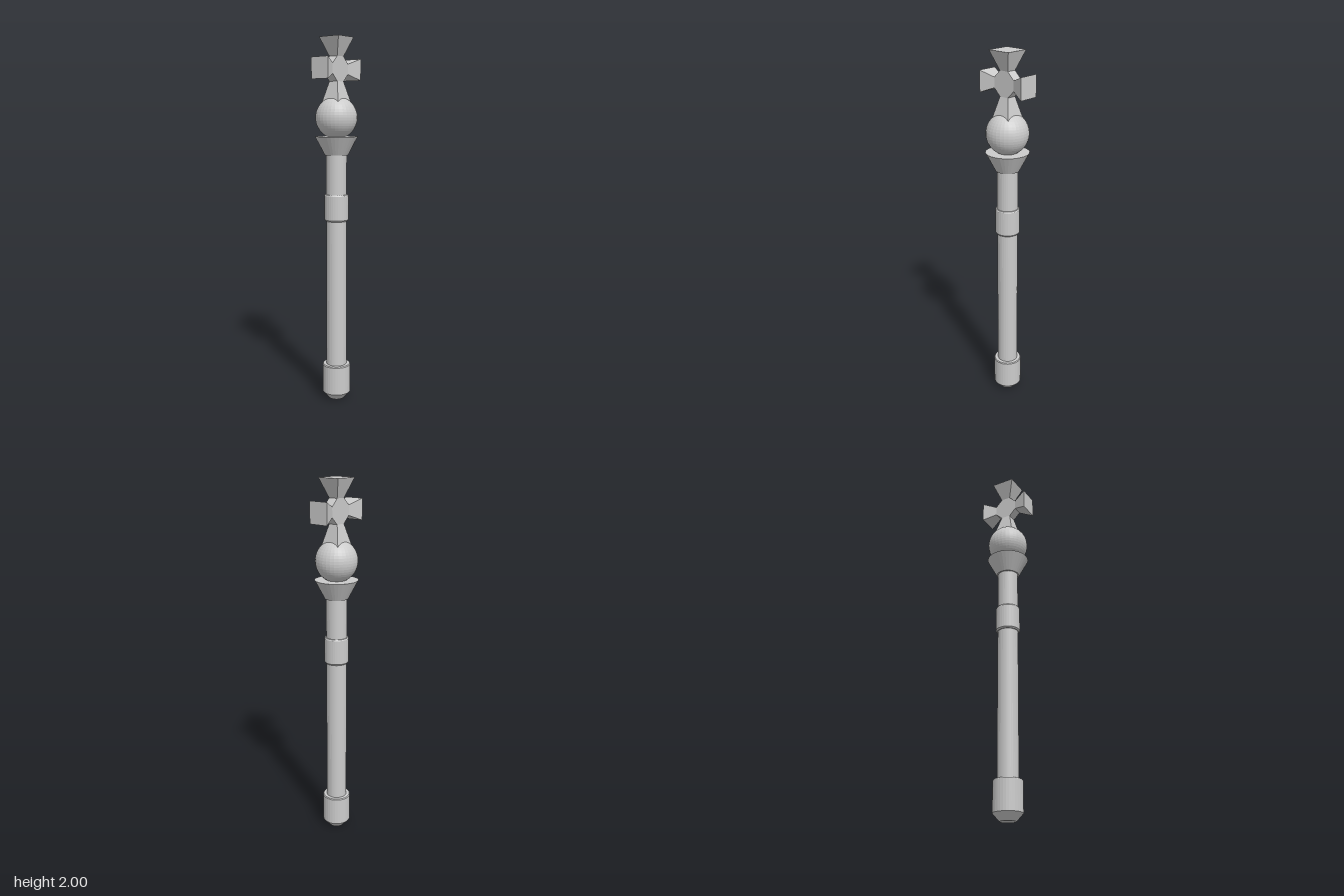
import * as THREE from 'three';

const material = new THREE.MeshStandardMaterial({ color: 0xcccccc, flatShading: true });
const SIDES = 32;

export function createModel() {
  const model = new THREE.Group();
  model.name = 'sceptre';

  const add = (name, geometry, y = 0, parent = model) => {
    const mesh = new THREE.Mesh(geometry, material);
    mesh.name = name;
    mesh.position.y = y;
    parent.add(mesh);
    return mesh;
  };
  // Turned part from [radius, height] pairs, bottom to top
  const turned = (name, points) =>
    add(name, new THREE.LatheGeometry(points.map(([r, y]) => new THREE.Vector2(r, y)), SIDES));

  // Staff
  turned('foot', [[0, 0], [0.042, 0], [0.078, 0.04], [0.078, 0.198], [0.074, 0.203], [0, 0.203]]);
  turned('shaft', [[0, 0.18], [0.056, 0.18], [0.056, 1.4], [0, 1.4]]);
  turned('grip ring', [[0.05, 1.02], [0.06, 1.02], [0.066, 1.028], [0.066, 1.16], [0.062, 1.166], [0.05, 1.166]]);
  turned('collar', [[0, 1.38], [0.063, 1.38], [0.116, 1.48], [0, 1.48]]);
  add('orb', new THREE.SphereGeometry(0.113, SIDES, 24), 1.58);

  // Flared cross lying in the y-z plane
  const cross = new THREE.Group();
  cross.name = 'cross';
  cross.position.y = 1.835;
  model.add(cross);

  // Octagonal hub whose flat sides meet the arms
  const inner = 0.065;
  const neck = inner * Math.tan(Math.PI / 8);
  const hub = new THREE.CylinderGeometry(inner / Math.cos(Math.PI / 8), inner / Math.cos(Math.PI / 8), neck * 2, 8);
  hub.rotateY(Math.PI / 8).rotateZ(Math.PI / 2);
  add('cross hub', hub, 0, cross);

  // Square arm widening outward from the hub, turned about x
  const arm = (name, reach, half, angle) => {
    const length = reach - inner;
    const geometry = new THREE.CylinderGeometry(half * Math.SQRT2, neck * Math.SQRT2, length, 4);
    geometry.rotateY(Math.PI / 4).translate(0, inner + length / 2, 0).rotateX(angle);
    add(name, geometry, 0, cross);
  };
  arm('top arm', 0.165, 0.065, 0);
  arm('front arm', 0.14, 0.056, Math.PI / 2);
  arm('bottom arm', 0.185, 0.058, Math.PI);
  arm('back arm', 0.14, 0.057, -Math.PI / 2);

  return model;
}
